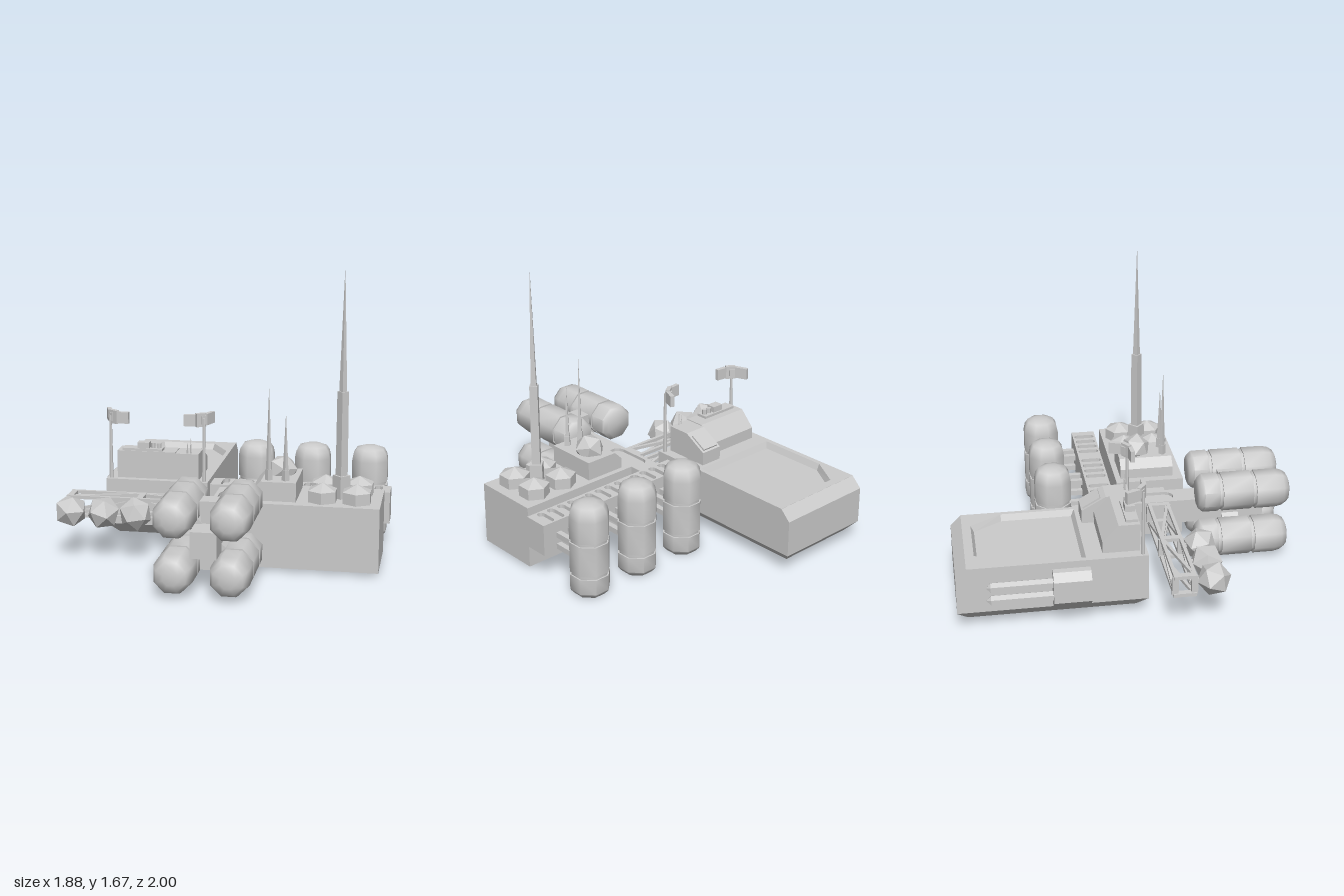
import * as THREE from 'three';
import { toCreasedNormals } from 'three/addons/utils/BufferGeometryUtils.js';

const flat = new THREE.MeshStandardMaterial({ color: 0xcccccc, flatShading: true });
const smooth = new THREE.MeshStandardMaterial({ color: 0xcccccc });

export function createModel() {
  const model = new THREE.Group();
  const add = (name, geo, x = 0, y = 0, z = 0, mat = flat) => {
    const m = new THREE.Mesh(geo, mat);
    m.name = name;
    m.position.set(x, y, z);
    model.add(m);
    return m;
  };
  // box given by its limits
  const box = (name, x0, x1, y0, y1, z0, z1) =>
    add(name, new THREE.BoxGeometry(x1 - x0, y1 - y0, z1 - z0), (x0 + x1) / 2, (y0 + y1) / 2, (z0 + z1) / 2);
  // rectangular bar between two points
  const bar = (name, a, b, w, h = w) => {
    const p = new THREE.Vector3(...a), q = new THREE.Vector3(...b);
    const m = add(name, new THREE.BoxGeometry(w, h, p.distanceTo(q)));
    m.position.copy(p).add(q).multiplyScalar(0.5);
    m.lookAt(q);
    return m;
  };
  // upright cylinder or cone standing on y
  const post = (name, rTop, rBase, h, sides, x, y, z) =>
    add(name, new THREE.CylinderGeometry(rTop, rBase, h, sides), x, y + h / 2, z);
  // horizontal plate with optional holes, lying on y0
  const plate = (name, outline, holes, y0, depth) => {
    const s = new THREE.Shape(outline);
    s.holes = holes.map(h => new THREE.Path(h));
    const g = new THREE.ExtrudeGeometry(s, { depth, bevelEnabled: false });
    return add(name, g.rotateX(-Math.PI / 2), 0, y0, 0);
  };
  // points on a plate: rectangle and upright slot (plate y is -z)
  const rect = (x0, x1, z0, z1) =>
    [[x0, -z1], [x1, -z1], [x1, -z0], [x0, -z0]].map(p => new THREE.Vector2(...p));
  const slot = (cx, cz, w, l) => {
    const pts = [];
    for (let i = 0; i < 12; i++) {
      const a = (Math.PI * (i < 6 ? i : i - 1 + 0)) / 5, up = i < 6 ? 1 : -1;
      pts.push(new THREE.Vector2(cx + Math.cos(a) * w / 2, -cz + Math.sin(a) * w / 2 + up * (l - w) / 2));
    }
    return pts;
  };
  // skin over rings of [x, z] corners at given heights
  const loft = (name, rings, capStart) => {
    const pos = [], n = rings[0].pts.length;
    const v = (r, i) => { const [x, z] = rings[r].pts[i % n]; return [x, rings[r].y, z]; };
    for (let r = 0; r + 1 < rings.length; r++)
      for (let i = 0; i < n; i++)
        pos.push(...v(r, i), ...v(r, i + 1), ...v(r + 1, i + 1), ...v(r, i), ...v(r + 1, i + 1), ...v(r + 1, i));
    const last = rings.length - 1;
    for (let i = 1; i + 1 < n; i++) {
      if (capStart) pos.push(...v(0, 0), ...v(0, i + 1), ...v(0, i));
      else pos.push(...v(last, 0), ...v(last, i), ...v(last, i + 1));
    }
    const g = new THREE.BufferGeometry();
    g.setAttribute('position', new THREE.Float32BufferAttribute(pos, 3));
    g.computeVertexNormals();
    return add(name, g);
  };
  // side profile of [z, y] points stretched along x
  const prism = (name, profile, x0, x1) => {
    const s = new THREE.Shape(profile.map(([z, y]) => new THREE.Vector2(-z, y)));
    const g = new THREE.ExtrudeGeometry(s, { depth: x1 - x0, bevelEnabled: false });
    return add(name, g.rotateY(Math.PI / 2), x0, 0, 0);
  };

  // main hull with chamfered belly and back
  const ring = (y, x0, x1, z0, z1) => ({ y, pts: [[x0, z1], [x1, z1], [x1, z0], [x0, z0]] });
  loft('hull', [
    ring(0.05, -0.67, -0.18, -0.94, 0.0), ring(0.115, -0.73, -0.12, -1, 0.06),
    ring(0.33, -0.73, -0.12, -1, 0.06), ring(0.39, -0.73, -0.12, -0.94, 0.06),
  ], true);
  // deck with a sunken bay
  const bay = d => [[-0.7 + d, -0.285 - d], [-0.145 - d, -0.285 - d], [-0.145 - d, -0.71],
    [-0.255 - d / 2, -0.89 + d], [-0.59 + d / 2, -0.89 + d], [-0.7 + d, -0.71]];
  plate('deck', rect(-0.73, -0.12, -0.94, 0.06), [bay(0).map(([x, z]) => new THREE.Vector2(x, -z))], 0.389, 0.002);
  loft('bay', [{ y: 0.391, pts: bay(0) }, { y: 0.355, pts: bay(0.018) }], false);

  // cabin and its roof fittings
  prism('cabin', [[0.02, 0.39], [0.02, 0.555], [-0.1, 0.555], [-0.19, 0.46], [-0.19, 0.39]], -0.67, -0.32);
  prism('sideCabin', [[0.02, 0.39], [0.02, 0.55], [-0.12, 0.55], [-0.26, 0.47], [-0.26, 0.39]], -0.32, -0.18);
  bar('sidePanel', [-0.25, 0.537, -0.15], [-0.25, 0.48, -0.25], 0.11, 0.012);
  box('roofPanel', -0.64, -0.4, 0.555, 0.57, -0.055, 0.015);
  box('roofBox', -0.55, -0.48, 0.57, 0.605, -0.045, 0.01);
  for (const x of [-0.46, -0.425]) post('roofCap', 0.014, 0.014, 0.03, 8, x, 0.57, -0.02);
  post('roofWhip', 0.001, 0.006, 0.09, 4, -0.23, 0.55, 0);
  post('roofWhip', 0.001, 0.006, 0.06, 4, -0.25, 0.55, 0);

  // floodlights, mirrored over the hull centre
  for (const s of [-1, 1]) {
    const x = d => -0.425 + s * d;
    post('lampPole', 0.008, 0.012, 0.38, 6, x(0.28), 0.39, 0.03);
    bar('lampBracket', [x(0.28), 0.76, 0.03], [x(0.255), 0.76, 0.0], 0.03, 0.05);
    const arc = [[0.315, -0.07], [0.285, 0.005], [0.235, 0.04], [0.165, 0.045]];
    for (let i = 0; i < 3; i++)
      bar('lampHead', [x(arc[i][0]), 0.76, arc[i][1]], [x(arc[i + 1][0]), 0.76, arc[i + 1][1]], 0.025, i === 1 ? 0.08 : 0.068);
  }

  // twin-barrel pod on the hull flank
  loft('pod', [ring(0.14, -0.77, -0.72, -0.475, -0.265), ring(0.18, -0.812, -0.72, -0.475, -0.265),
    ring(0.31, -0.812, -0.72, -0.475, -0.265), ring(0.35, -0.77, -0.72, -0.475, -0.265)], true);
  box('podBack', -0.77, -0.72, 0.14, 0.35, -0.475, -0.265);
  for (const y of [0.205, 0.285]) {
    const barrel = add('barrel', new THREE.CylinderGeometry(0.03, 0.03, 0.35, 6), -0.765, y, -0.64);
    barrel.rotation.x = -Math.PI / 2;
    const tip = add('barrelTip', new THREE.ConeGeometry(0.03, 0.025, 6), -0.765, y, -0.827);
    tip.rotation.x = -Math.PI / 2;
  }

  // cross beam with slotted top
  const slots = [];
  for (const x of [0.07, 0.415, 0.76]) for (let i = 0; i < 4; i++)
    slots.push(slot(x - 0.108 + i * 0.072, -0.092, 0.045, 0.125));
  box('crossBeam', -0.13, 0.94, 0.175, 0.34, -0.165, -0.02);
  plate('crossBeamTop', rect(-0.13, 0.94, -0.165, -0.02), slots, 0.34, 0.022);

  // centre beam with one long slot
  box('centreBeam', -0.06, 0.085, 0.2, 0.33, -0.02, 0.87);
  plate('centreBeamTop', rect(-0.06, 0.085, -0.02, 0.87), [slot(0.012, 0.195, 0.1, 0.28)], 0.33, 0.018);
  box('beamLink', 0.08, 0.15, 0.2, 0.34, 0.1, 0.3);

  // ribbed tanks: three upright, four lying
  const tankProfile = [[0, 0], [0.09, 0], [0.108, 0.02], [0.114, 0.03], [0.114, 0.12], [0.105, 0.12],
    [0.105, 0.14], [0.114, 0.14], [0.114, 0.32], [0.105, 0.32], [0.105, 0.34], [0.114, 0.34], [0.114, 0.465],
    [0.106, 0.505], [0.086, 0.535], [0.045, 0.549], [0, 0.552]].map(p => new THREE.Vector2(...p));
  const tankGeo = toCreasedNormals(new THREE.LatheGeometry(tankProfile, 8, Math.PI / 8), 0.9);
  for (const x of [0.105, 0.45, 0.797]) {
    add('uprightTank', tankGeo, x, 0, -0.38, smooth);
    for (const dx of [-0.04, 0.04]) for (const y of [0.205, 0.275])
      bar('tankStrut', [x + dx, y, -0.16], [x + dx, y, -0.31], 0.032);
  }
  for (const y of [0.13, 0.435]) {
    for (const x of [-0.14, 0.165]) {
      add('lyingTank', tankGeo, x, y, 0.448, smooth).rotation.x = Math.PI / 2;
      bar('tankMount', [x, y, 0.67], [0.012, 0.27, 0.67], 0.1, 0.06);
    }
    box('tankBridge', -0.05, 0.075, y - 0.04, y + 0.04, 0.61, 0.72);
    box('tankPylon', -0.03, 0.055, Math.min(y, 0.27), Math.max(y, 0.27), 0.62, 0.71);
  }

  // truss arm
  const stations = [-0.885, -0.475, -0.075];
  for (const y of [0.225, 0.335]) {
    for (const z of [0.177, 0.285]) {
      bar('trussRail', [-0.905, y, z], [-0.055, y, z], 0.02);
    }
    for (const x of stations) bar('trussCross', [x, y, 0.167], [x, y, 0.295], 0.036, 0.02);
    for (const x of [stations[0], stations[2]])
      bar('trussBrace', [x, y, 0.282], [stations[1], y, 0.18], 0.018);
  }
  for (const z of [0.177, 0.285]) {
    for (const x of stations) bar('trussPost', [x, 0.225, z], [x, 0.335, z], 0.02, 0.036);
    for (const x of [stations[0], stations[2]])
      bar('trussBrace', [x, 0.225, z], [stations[1], 0.335, z], 0.016);
  }
  // faceted pods along the truss
  [-0.85, -0.657, -0.47].forEach((x, i) => {
    const m = add('facetedPod', new THREE.IcosahedronGeometry(0.097, 0), x, 0.285, 0.4);
    m.rotation.set(0.4 + i * 0.3, 0.2 + i * 0.5, 0.3);
    bar('podStem', [x, 0.285, 0.4], [x, 0.285, 0.285], 0.02);
  });

  // cargo block with its top unit
  box('cargoBlock', 0.14, 0.91, 0.02, 0.39, 0.013, 0.422);
  const unit = [[0.19, 0.39], [0.44, 0.39], [0.44, 0.5], [0.24, 0.5], [0.19, 0.45]];
  add('topUnit', new THREE.ExtrudeGeometry(new THREE.Shape(unit.map(p => new THREE.Vector2(...p))),
    { depth: 0.32, bevelEnabled: false }), 0, 0, 0.045);
  add('facetedDome', new THREE.IcosahedronGeometry(0.09, 0), 0.337, 0.522, 0.16).rotation.set(0.3, 0.4, 0.2);
  for (const [x, top] of [[0.28, 1.02], [0.375, 0.87]]) {
    post('aerialBase', 0.02, 0.022, 0.06, 4, x, 0.5, 0.315);
    post('aerial', 0.001, 0.016, top - 0.56, 4, x, 0.56, 0.315);
  }
  // hexagonal silos
  for (const x of [0.583, 0.775]) for (const z of [0.125, 0.305]) {
    post('silo', 0.088, 0.088, 0.065, 6, x, 0.39, z);
    post('siloRoof', 0, 0.088, 0.04, 6, x, 0.455, z);
  }
  // mast
  post('mastFoot', 0.05, 0.052, 0.13, 4, 0.68, 0.39, 0.22);
  post('mast', 0.032, 0.034, 0.48, 4, 0.68, 0.52, 0.22);
  post('mastSpike', 0.001, 0.022, 0.67, 4, 0.68, 1.0, 0.22);
  return model;
}
